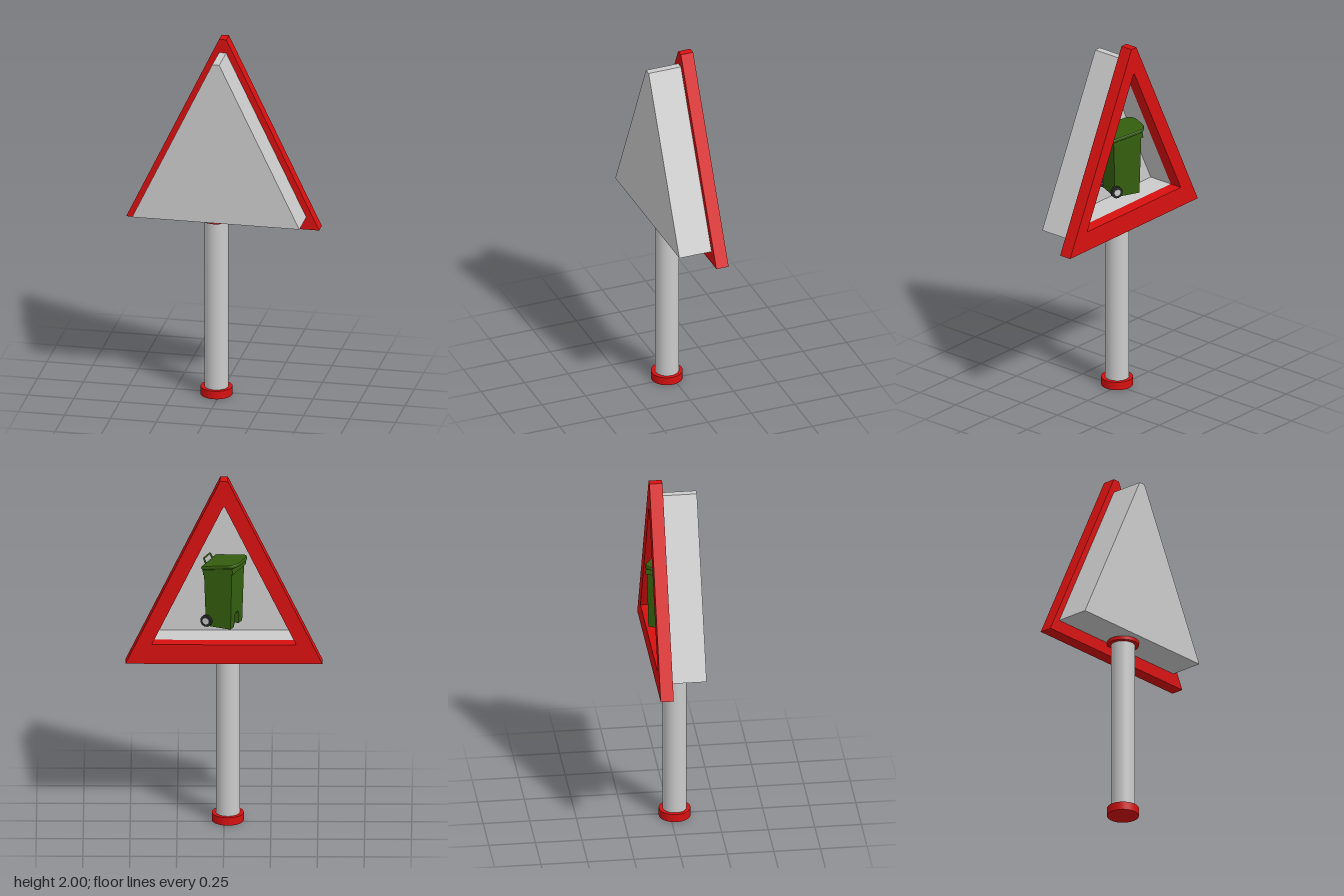
import * as THREE from 'three';

const mat = (color) => new THREE.MeshStandardMaterial({ color });
const grey = mat(0xcccccc), red = mat(0xd81010), green = mat(0x35600f), dark = mat(0x2a2a2a);

function add(parent, name, geometry, material, x = 0, y = 0, z = 0) {
  const mesh = new THREE.Mesh(geometry, material);
  mesh.name = name;
  mesh.position.set(x, y, z);
  parent.add(mesh);
  return mesh;
}

// Triangle with a narrow flat top
const corners = (base, low, tip, high) => [
  [-base, low], [base, low], [tip, high], [-tip, high],
].map(([x, y]) => new THREE.Vector2(x, y));

const OUTER = corners(0.525, 0.95, 0.02, 2);
const CASE = corners(0.455, 1.02, 0.019, 1.925);
const OPENING = corners(0.385, 1.06, 0.004, 1.85);

function triangle(outline, depth, hole) {
  const shape = new THREE.Shape(outline);
  if (hole) shape.holes.push(new THREE.Path(hole));
  return new THREE.ExtrudeGeometry(shape, { depth, bevelEnabled: false });
}

// Narrow the bin towards its foot and raise its top towards the front (-x)
function taper(geometry, height) {
  const p = geometry.attributes.position;
  for (let i = 0; i < p.count; i++) {
    const t = p.getY(i) / height, x = p.getX(i), z = p.getZ(i);
    p.setXYZ(i, x * (0.9 + 0.12 * t), p.getY(i) - t * x * 0.18, z * (0.94 + 0.06 * t));
  }
  geometry.computeVertexNormals();
  return geometry;
}

function createBin() {
  const bin = new THREE.Group();
  bin.name = 'wheeledBin';
  const H = 0.33, W = 0.08;

  // Body: plain rear block and a front panel with an arched foot
  add(bin, 'binBody', taper(new THREE.BoxGeometry(0.13, H, 2 * W).translate(0.015, H / 2, 0), H), green);
  const panel = new THREE.Shape();
  panel.moveTo(-W, 0).lineTo(-0.03, 0).lineTo(-0.03, 0.045);
  panel.absarc(0, 0.045, 0.03, Math.PI, 0, true);
  panel.lineTo(0.03, 0).lineTo(W, 0).lineTo(W, H).lineTo(-W, H).closePath();
  const front = new THREE.ExtrudeGeometry(panel, { depth: 0.03, bevelEnabled: false, curveSegments: 10 });
  front.rotateY(-Math.PI / 2).translate(-0.05, 0, 0);
  add(bin, 'binFrontPanel', taper(front, H), green);

  // Rim and lid, both sloping up to the front
  const top = new THREE.Group();
  top.name = 'binTop';
  top.position.y = H;
  top.rotation.z = -0.18;
  bin.add(top);
  add(top, 'binRim', new THREE.BoxGeometry(0.176, 0.03, 0.172), green, 0, -0.008, 0);
  const plan = new THREE.Shape();
  plan.moveTo(0.08, -0.085).lineTo(0.08, 0.085).lineTo(-0.07, 0.085);
  plan.quadraticCurveTo(-0.105, 0.08, -0.108, 0.035).lineTo(-0.108, -0.035);
  plan.quadraticCurveTo(-0.105, -0.08, -0.07, -0.085).closePath();
  const lid = new THREE.ExtrudeGeometry(plan, {
    depth: 0.008, bevelThickness: 0.007, bevelSize: 0.009, bevelSegments: 2, curveSegments: 6,
  });
  add(top, 'binLid', lid.rotateX(-Math.PI / 2), green, 0, 0.016, 0);

  // Handle at the rear
  const path = new THREE.CurvePath();
  const pts = [[0.075, 0.315, -0.045], [0.1, 0.37, -0.04], [0.1, 0.37, 0.04], [0.075, 0.315, 0.045]]
    .map((p) => new THREE.Vector3(...p));
  for (let i = 0; i < 3; i++) path.add(new THREE.LineCurve3(pts[i], pts[i + 1]));
  add(bin, 'binHandle', new THREE.TubeGeometry(path, 24, 0.005, 8), green);

  // Wheels and axle
  const disc = (r, w) => new THREE.CylinderGeometry(r, r, w, 24).rotateX(Math.PI / 2);
  add(bin, 'axle', disc(0.006, 0.17), dark, 0.066, 0.032, 0);
  for (const s of [-1, 1]) {
    add(bin, 'wheelTyre', disc(0.032, 0.018), dark, 0.066, 0.032, s * 0.082);
    add(bin, 'wheelHub', disc(0.018, 0.02), grey, 0.066, 0.032, s * 0.083);
  }
  return bin;
}

export function createModel() {
  const model = new THREE.Group();
  model.name = 'roadSign';

  // Post with its base and top collars
  const px = -0.02, pz = 0.025;
  add(model, 'post', new THREE.CylinderGeometry(0.064, 0.064, 1.0, 40), grey, px, 0.525, pz);
  const collar = new THREE.CylinderGeometry(0.085, 0.085, 0.045, 40);
  add(model, 'baseCollar', collar, red, px, 0.0225, pz);
  add(model, 'topCollar', collar, red, px, 1.0225, pz);

  // Red frame, and the grey case behind it with a closed front plate
  add(model, 'frame', triangle(OUTER, 0.07, OPENING), red, 0, 0, -0.11);
  add(model, 'caseWalls', triangle(CASE, 0.14, OPENING), grey, 0, 0, -0.04);
  add(model, 'casePlate', triangle(CASE, 0.045), grey, 0, 0, 0.1);

  // Bin standing in the opening, turned a little
  const bin = createBin();
  bin.position.set(0, 1.15, -0.02);
  bin.rotation.y = THREE.MathUtils.degToRad(-24);
  model.add(bin);
  return model;
}
